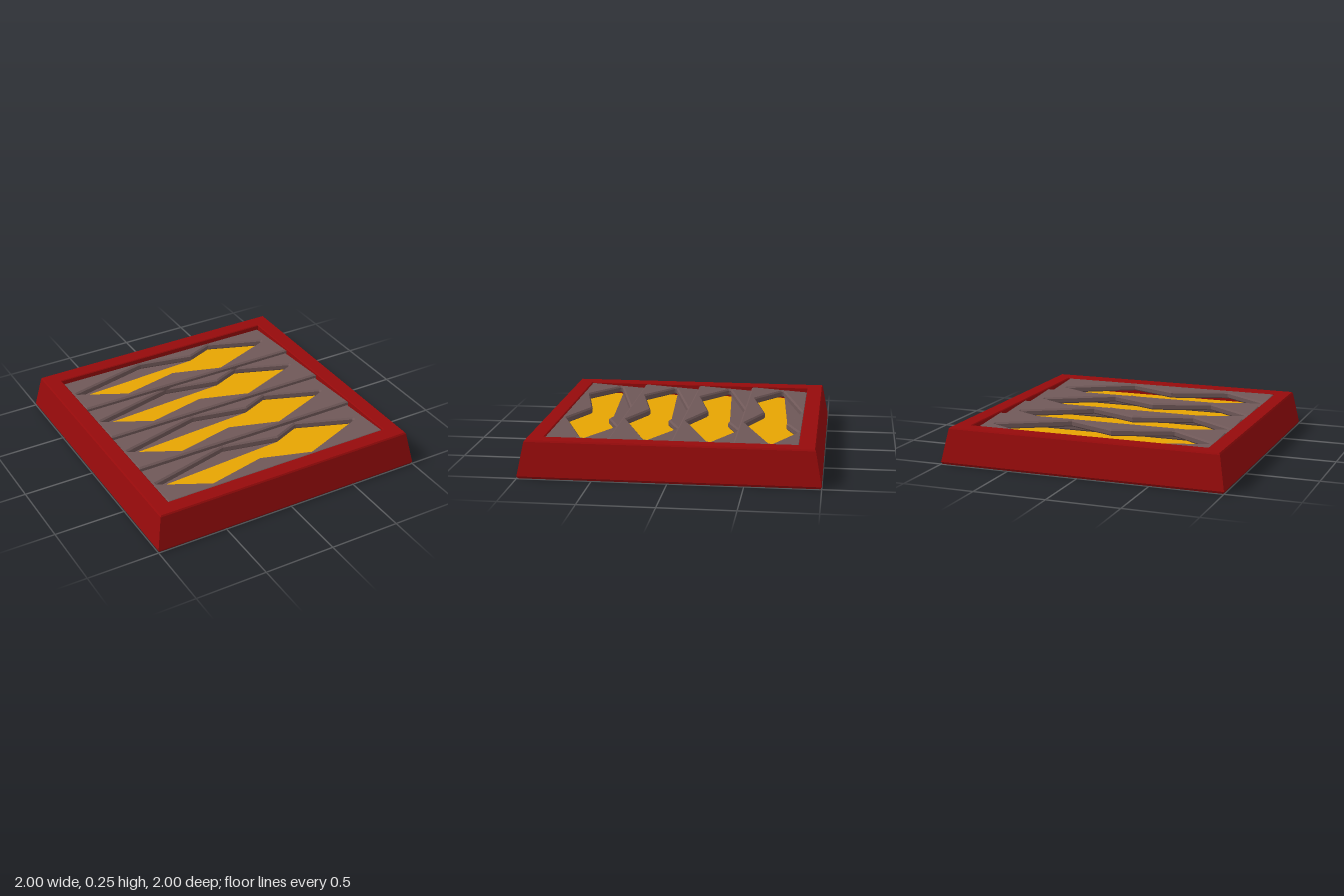
import * as THREE from 'three';

const material = (color, side = THREE.FrontSide) =>
  new THREE.MeshStandardMaterial({ color, side, flatShading: true });

const polygon = (points) => points.map(([x, z]) => new THREE.Vector2(x, -z));

// Turn a shape drawn in x and -z so that it lies flat.
const layFlat = (geometry) => geometry.rotateX(-Math.PI / 2);

export function createModel() {
  const model = new THREE.Group();
  const red = material(0x960a0b);
  const brown = material(0x6f5858, THREE.DoubleSide);
  const yellow = material(0xe6a402, THREE.DoubleSide);

  // Tapered square tray: a four-sided turned profile, with rim and floor.
  const profile = [
    [0, 0], [0.992, 0], [1, 0.015], [0.957, 0.24], [0.95, 0.25],
    [0.848, 0.25], [0.842, 0.244], [0.842, 0.155], [0, 0.155],
  ].map(([half, y]) => new THREE.Vector2(half * Math.SQRT2, y));
  const trayGeometry = new THREE.LatheGeometry(profile, 4, Math.PI / 4).toNonIndexed();
  trayGeometry.computeVertexNormals();
  const tray = new THREE.Mesh(trayGeometry, red);
  tray.name = 'tray';
  model.add(tray);

  // Glowing bed under the slats.
  const bed = new THREE.Mesh(layFlat(new THREE.PlaneGeometry(1.68, 1.68)), yellow);
  bed.name = 'bed';
  bed.position.y = 0.166;
  model.add(bed);

  // Jagged opening, as x and z within one slat.
  const opening = [
    [-0.815, -0.04], [-0.205, -0.205], [0.18, -0.115], [0.38, -0.205], [0.765, -0.04],
    [0.765, -0.01], [0.27, 0.195], [-0.07, 0.075], [-0.49, 0.178], [-0.815, -0.01],
  ];
  const thickness = 0.05;
  const bevel = 0.011;
  const [halfX, halfZ] = [0.84 - bevel, 0.217 - bevel];
  const slatShape = new THREE.Shape(polygon([
    [-halfX, halfZ], [halfX, halfZ], [halfX, -halfZ], [-halfX, -halfZ],
  ]));
  slatShape.holes.push(new THREE.Path(polygon(opening)));
  const slatGeometry = layFlat(new THREE.ExtrudeGeometry(slatShape, {
    depth: thickness - 2 * bevel, bevelSize: bevel, bevelThickness: bevel, bevelSegments: 1,
  })).translate(0, bevel - thickness, 0);

  // Thin web closing the rear corner of each opening at the slat's underside.
  const webGeometry = layFlat(new THREE.ShapeGeometry(
    new THREE.Shape(polygon(opening.slice(0, 3))),
  )).translate(0, -thickness, 0);

  // Four slats, each leaning back slightly so its front edge stands higher.
  [-0.63, -0.22, 0.203, 0.63].forEach((z) => {
    const slat = new THREE.Group();
    slat.name = 'slat';
    const plate = new THREE.Mesh(slatGeometry, brown);
    plate.name = 'slatPlate';
    const web = new THREE.Mesh(webGeometry, brown);
    web.name = 'slatWeb';
    slat.add(plate, web);
    slat.position.set(0, 0.231, z);
    slat.rotation.x = -0.07;
    model.add(slat);
  });

  return model;
}
